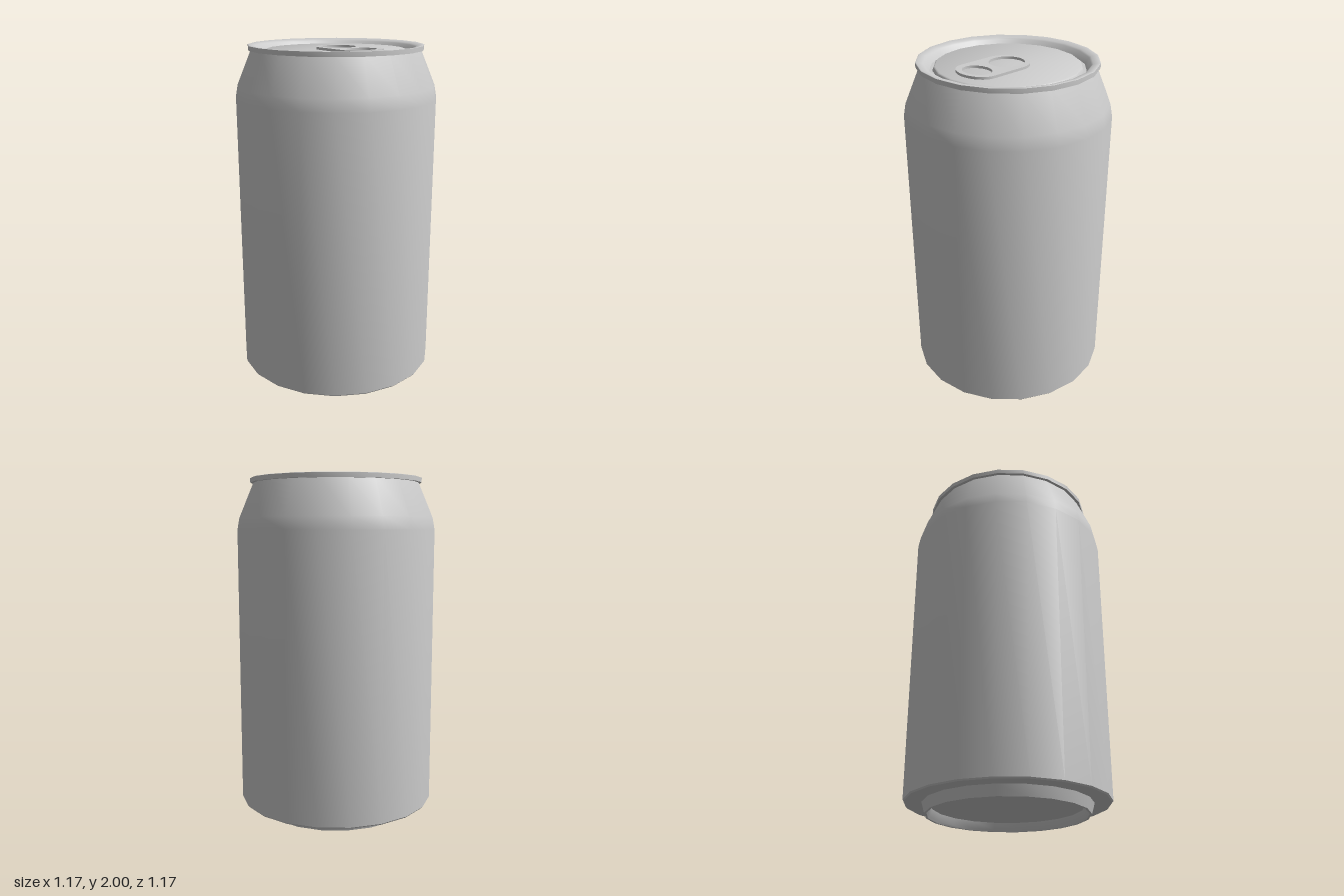
import * as THREE from 'three';
import { toCreasedNormals } from 'three/addons/utils/BufferGeometryUtils.js';

const SIDES = 20;
const material = new THREE.MeshStandardMaterial({ color: 0xcccccc });

function addPart(group, name, geometry, crease = 0.65) {
  const mesh = new THREE.Mesh(toCreasedNormals(geometry, crease), material);
  mesh.name = name;
  group.add(mesh);
}

// Revolved part from [radius, height] pairs, listed along the outward-facing side
function revolve(profile) {
  return new THREE.LatheGeometry(profile.map(([r, y]) => new THREE.Vector2(r, y)), SIDES);
}

function ellipseHole(x, z, rx, rz) {
  return new THREE.Path().absellipse(x, z, rx, rz, 0, Math.PI * 2, true);
}

export function createModel() {
  const can = new THREE.Group();
  can.name = 'can';

  // Recessed base and foot ring
  addPart(can, 'base', revolve([
    [0, 0.05], [0.43, 0.05], [0.445, 0.01], [0.452, 0], [0.465, 0], [0.482, 0.06],
  ]));

  // Wall, shoulder and neck
  addPart(can, 'body', revolve([
    [0.482, 0.06], [0.578, 0.06], [0.585, 0.068], [0.585, 1.7], [0.572, 1.77], [0.487, 1.972],
  ]));

  // Rolled rim, groove and raised centre panel
  addPart(can, 'lid', revolve([
    [0.487, 1.972], [0.505, 1.972], [0.505, 1.998], [0.5, 2], [0.465, 1.992],
    [0.455, 1.985], [0.432, 1.95], [0.415, 1.95], [0.408, 1.968], [0.4, 1.973], [0, 1.973],
  ]));

  // Pull tab: stadium plate with two finger holes
  const tabX = 0.008;
  const plate = new THREE.Shape();
  plate.absellipse(tabX, 0.235, 0.132, 0.1, 0, Math.PI, false);
  plate.absellipse(tabX, 0.02, 0.132, 0.125, Math.PI, Math.PI * 2, false);
  plate.closePath();
  plate.holes.push(
    ellipseHole(tabX, 0.017, 0.098, 0.102),
    ellipseHole(tabX, 0.235, 0.091, 0.073),
  );
  const tab = new THREE.ExtrudeGeometry(plate, { depth: 0.016, bevelEnabled: false, curveSegments: 8 });
  tab.rotateX(Math.PI / 2).translate(0, 1.987, 0);
  addPart(can, 'pullTab', tab, 0.8);

  return can;
}
